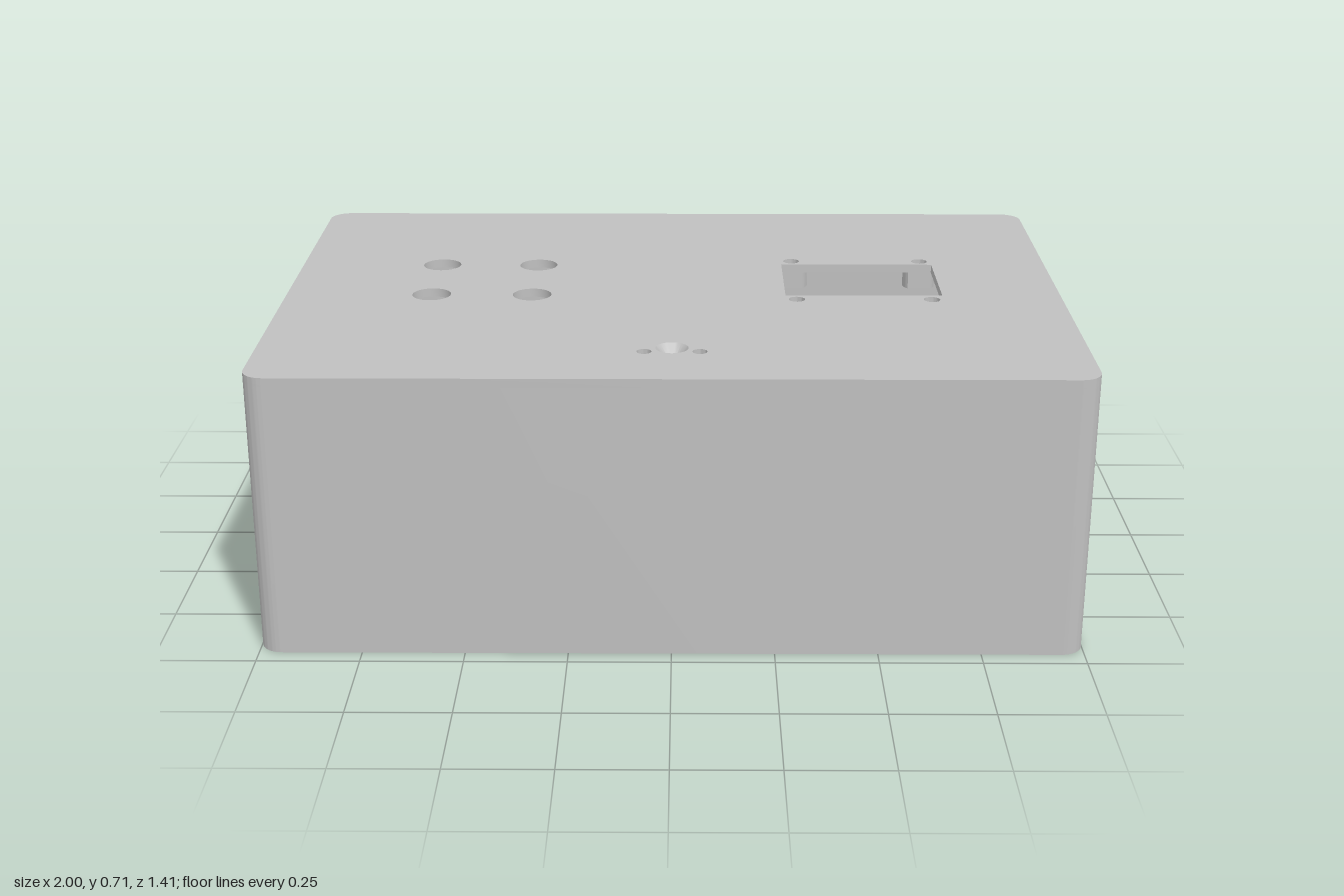
import * as THREE from 'three';
import { toCreasedNormals } from 'three/addons/utils/BufferGeometryUtils.js';

const W = 2, D = 1.41, H = 0.708;   // outer size
const WALL = 0.02, LID = 0.022;     // wall and lid thickness
const BOSS = 0.045;                 // boss length below the lid

// Rounded rectangle centred on the origin, in plan (shape y is -z)
function roundedRect(target, w, d, r) {
  const x = w / 2 - r, y = d / 2 - r;
  target.moveTo(x, -y - r);
  target.absarc(x, -y, r, -Math.PI / 2, 0);
  target.absarc(x, y, r, 0, Math.PI / 2);
  target.absarc(-x, y, r, Math.PI / 2, Math.PI);
  target.absarc(-x, -y, r, Math.PI, Math.PI * 1.5);
  target.closePath();
  return target;
}

function circle(target, x, z, r) {
  target.absarc(x, -z, r, 0, Math.PI * 2);
  return target;
}

// Polygonal hole for a nut or screw
function hexHole(x, z, r) {
  const points = [];
  for (let i = 0; i < 6; i++) {
    const a = i * Math.PI / 3;
    points.push(new THREE.Vector2(x + r * Math.cos(a), -z + r * Math.sin(a)));
  }
  return new THREE.Path(points);
}

export function createModel() {
  const group = new THREE.Group();
  const grey = new THREE.MeshStandardMaterial({ color: 0xc0c0c0 });
  grey.name = 'grey plastic';

  function add(name, geometry) {
    const mesh = new THREE.Mesh(toCreasedNormals(geometry, 0.6), grey);
    mesh.name = name;
    group.add(mesh);
    return mesh;
  }

  // Extrude a plan shape upward from y0 to y1
  function plate(name, shape, y0, y1) {
    const g = new THREE.ExtrudeGeometry(shape, { depth: y1 - y0, bevelEnabled: false, curveSegments: 16 });
    g.rotateX(-Math.PI / 2);
    g.translate(0, y0, 0);
    return add(name, g);
  }

  const under = H - LID;

  // Side walls, open at the bottom
  const walls = roundedRect(new THREE.Shape(), W, D, 0.055);
  walls.holes.push(roundedRect(new THREE.Path(), W - 2 * WALL, D - 2 * WALL, 0.035));
  plate('walls', walls, 0, under);

  // Top panel with all its cut-outs
  const panel = roundedRect(new THREE.Shape(), W, D, 0.055);
  const cut = (x, z, r) => panel.holes.push(circle(new THREE.Path(), x, z, r));
  for (const x of [-0.625, -0.365]) for (const z of [-0.19, 0.07]) cut(x, z, 0.05);

  const win = { x0: 0.29, x1: 0.695, z0: -0.2, z1: 0.072 };
  panel.holes.push(new THREE.Path([
    new THREE.Vector2(win.x0, -win.z0), new THREE.Vector2(win.x1, -win.z0),
    new THREE.Vector2(win.x1, -win.z1), new THREE.Vector2(win.x0, -win.z1),
  ]));

  // Display bosses, trimmed flush with the window edge
  for (const x of [0.318, 0.665]) {
    for (const side of [-1, 1]) {
      const r = 0.043, z = side < 0 ? -0.23 : 0.105;
      const gap = side < 0 ? win.z0 - z : z - win.z1;
      const half = Math.acos(gap / r);
      const towards = side < 0 ? -Math.PI / 2 : Math.PI / 2;
      const boss = new THREE.Shape();
      boss.absarc(x, -z, r, towards + half, towards + Math.PI * 2 - half);
      boss.closePath();
      boss.holes.push(circle(new THREE.Path(), x, z, 0.021));
      plate('displayBoss', boss, under - BOSS, under);
      cut(x, z, 0.021);
    }
  }

  // Screw bosses either side of the indicator light
  for (const x of [-0.067, 0.067]) {
    const boss = circle(new THREE.Shape(), x, 0.512, 0.04);
    boss.holes.push(circle(new THREE.Path(), x, 0.512, 0.018));
    plate('indicatorBoss', boss, under - BOSS, under);
    cut(x, 0.512, 0.018);
  }

  // Conical light well with a small bore and a short tube below
  cut(0, 0.485, 0.04);
  const well = [
    [0.014, H - 0.03], [0.014, under - BOSS], [0.028, under - BOSS],
    [0.028, under], [0.04, under], [0.04, H], [0.014, H - 0.03],
  ].map(([r, y]) => new THREE.Vector2(r, y));
  add('indicatorWell', new THREE.LatheGeometry(well, 32)).position.z = 0.485;

  plate('topPanel', panel, under, H);

  // Corner posts, each with a blind socket at the bottom
  for (const sx of [-1, 1]) {
    for (const sz of [-1, 1]) {
      const x = sx * (W / 2 - 0.083), z = sz * (D / 2 - 0.083);
      const socket = circle(new THREE.Shape(), x, z, 0.065);
      socket.holes.push(hexHole(x, z, 0.03));
      plate('postSocket', socket, 0, 0.1);
      plate('cornerPost', circle(new THREE.Shape(), x, z, 0.065), 0.1, under);
    }
  }

  return group;
}
